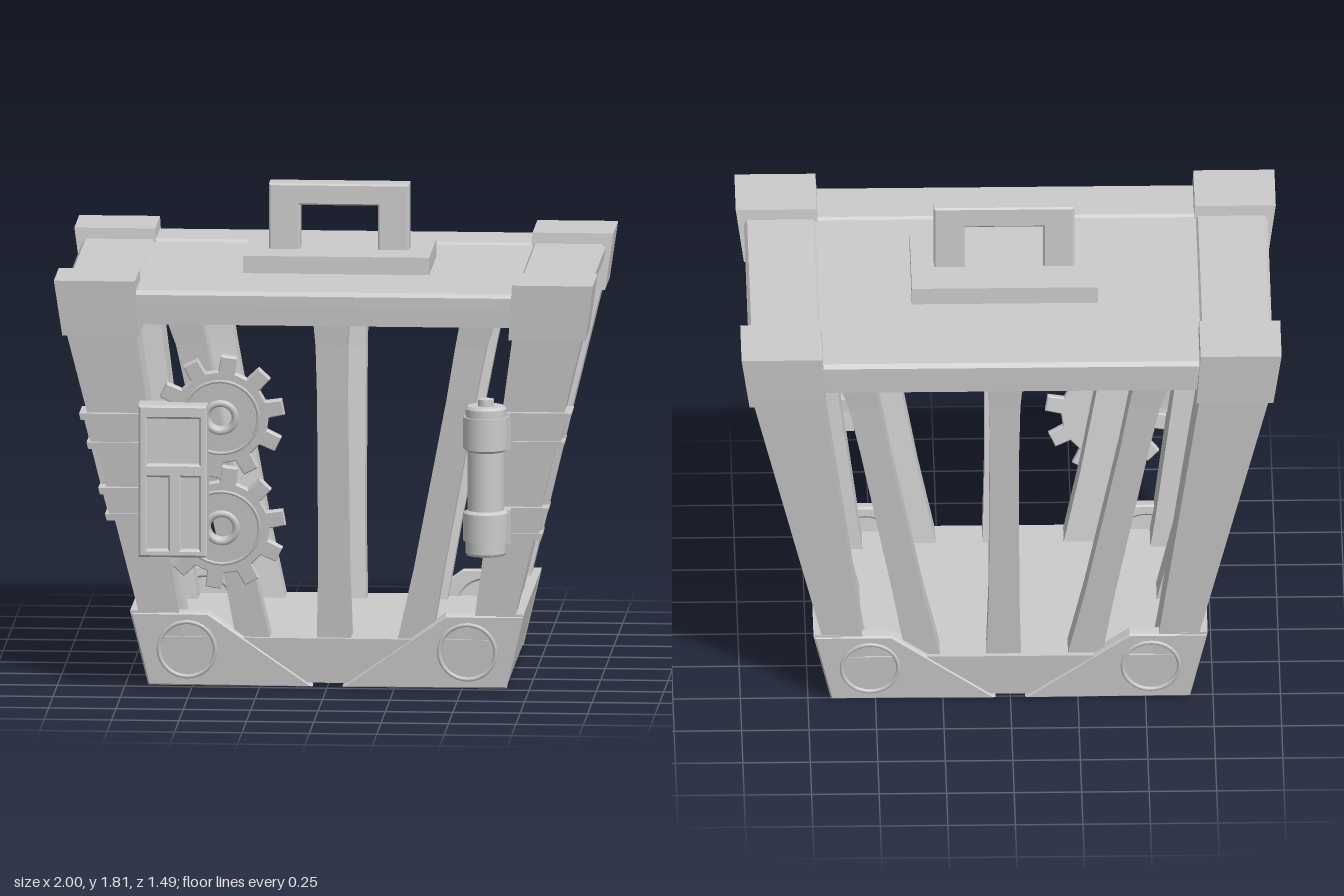
import * as THREE from 'three';

const mat = new THREE.MeshStandardMaterial({ color: 0xcccccc });

function add(parent, name, geometry, x = 0, y = 0, z = 0) {
  const mesh = new THREE.Mesh(geometry, mat);
  mesh.name = name;
  mesh.position.set(x, y, z);
  parent.add(mesh);
  return mesh;
}

// Box stretched through rectangular sections [y, xa, xb, za, zb], bottom to top
function loft(...sections) {
  const n = sections.length - 1;
  const g = new THREE.BoxGeometry(1, 1, 1, 1, n, 1);
  const p = g.attributes.position;
  for (let i = 0; i < p.count; i++) {
    const [y, xa, xb, za, zb] = sections[Math.round((p.getY(i) + 0.5) * n)];
    p.setXYZ(i,
      p.getX(i) < 0 ? Math.min(xa, xb) : Math.max(xa, xb), y,
      p.getZ(i) < 0 ? Math.min(za, zb) : Math.max(za, zb));
  }
  const flat = g.toNonIndexed();
  flat.computeVertexNormals();
  return flat;
}

const block = (x0, x1, y0, y1, z0, z1) => loft([y0, x0, x1, z0, z1], [y1, x0, x1, z0, z1]);

function polygon(points) {
  return new THREE.Shape(points.map(([x, y]) => new THREE.Vector2(x, y)));
}

function extrude(shape, depth, bevel = 0) {
  return new THREE.ExtrudeGeometry(shape, {
    depth, curveSegments: 28, bevelEnabled: bevel > 0, bevelSize: bevel,
    bevelOffset: -bevel, bevelThickness: bevel, bevelSegments: 1,
  });
}

function rectHole(x0, x1, y0, y1) {
  return polygon([[x0, y0], [x0, y1], [x1, y1], [x1, y0]]);
}

// Outer faces of the sloping corner posts at height y
const postX = y => 0.70 + 0.2406 * (y - 0.28);
const postZ = y => 0.497 + 0.1443 * (y - 0.28);
const backZ = y => 0.415 + 0.112 * (y - 0.57);

function cage() {
  const g = new THREE.Group();
  g.name = 'cage';
  g.position.z = -0.021;

  for (const sx of [1, -1]) for (const sz of [1, -1]) {
    add(g, 'cornerCap', loft(
      [1.34, sx * 0.685, sx * 0.97, sz * 0.43, sz * 0.70],
      [1.55, sx * 0.70, sx, sz * 0.447, sz * 0.725]));
    add(g, 'cornerPost', loft(
      [0.1, sx * 0.52, sx * 0.657, sz * 0.325, sz * 0.492],
      [0.28, sx * 0.55, sx * 0.70, sz * 0.34, sz * 0.518],
      [1.36, sx * 0.70, sx * 0.96, sz * 0.447, sz * 0.673]));
  }

  // Stepped rails round the lid
  for (const s of [1, -1]) {
    add(g, 'longRail', loft(
      [1.38, -0.75, 0.75, s * 0.45, s * 0.665], [1.455, -0.75, 0.75, s * 0.45, s * 0.672]));
    add(g, 'longRailRim', loft(
      [1.455, -0.75, 0.75, s * 0.45, s * 0.692], [1.495, -0.75, 0.75, s * 0.45, s * 0.695],
      [1.51, -0.75, 0.75, s * 0.462, s * 0.682]));
    add(g, 'sideRail', loft(
      [1.38, s * 0.70, s * 0.935, -0.5, 0.5], [1.455, s * 0.70, s * 0.945, -0.5, 0.5]));
    add(g, 'sideRailRim', loft(
      [1.455, s * 0.70, s * 0.965, -0.5, 0.5], [1.495, s * 0.70, s * 0.97, -0.5, 0.5],
      [1.51, s * 0.712, s * 0.958, -0.5, 0.5]));
  }
  add(g, 'lidPanel', block(-0.72, 0.72, 1.40, 1.5, -0.46, 0.46));

  // Three bars on the long faces, one on each side, slightly waisted
  for (const s of [1, -1]) {
    for (const k of [-1, 0, 1]) {
      const bar = [[0.1, 0.285, 0.066, 0.475], [0.45, 0.355, 0.056, 0.525],
        [1.1, 0.48, 0.054, 0.62], [1.3, 0.518, 0.058, 0.645], [1.4, 0.545, 0.066, 0.66]];
      add(g, 'longFaceBar', loft(...bar.map(([y, c, h, z]) =>
        [y, 0.024 + k * c - h, 0.024 + k * c + h, s * (z - 0.11), s * z])));
    }
    const bar = [[0.1, 0.65, 0.066], [0.45, 0.735, 0.06], [1.1, 0.87, 0.06], [1.4, 0.93, 0.072]];
    add(g, 'sideBar', loft(...bar.map(([y, x, h]) =>
      [y, s * (x - 0.12), s * x, -0.012 - h, -0.012 + h])));
  }

  // Base tray with raised side walls
  add(g, 'baseFloor', loft([0.01, -0.66, 0.66, -0.485, 0.485], [0.18, -0.69, 0.69, -0.508, 0.508]));
  for (const s of [1, -1])
    add(g, 'baseSideWall', loft(
      [0.005, s * 0.55, s * 0.665, -0.485, 0.485], [0.28, s * 0.63, s * 0.73, -0.52, 0.52]));

  // Angled corner plates with round recesses, front and back
  for (const turn of [0, Math.PI]) {
    const face = new THREE.Group();
    face.name = 'baseFace';
    face.rotation.y = turn;
    g.add(face);
    for (const s of [1, -1]) {
      const plate = new THREE.Group();
      plate.name = 'basePlate';
      plate.position.z = 0.445;
      plate.rotation.x = 0.11;
      face.add(plate);
      const shape = polygon([[0.665, 0], [0.73, 0.28], [0.44, 0.28], [0.055, 0]].map(([x, y]) => [s * x, y]));
      const hole = new THREE.Path();
      hole.absarc(s * 0.52, 0.14, 0.1, 0, Math.PI * 2);
      shape.holes.push(hole);
      add(plate, 'cornerPlate', extrude(shape, 0.04, 0.007));
      const disc = add(plate, 'roundInset', new THREE.CylinderGeometry(0.105, 0.105, 0.03, 32), s * 0.52, 0.14, 0.018);
      disc.rotation.x = Math.PI / 2;
      add(plate, 'insetRim', new THREE.TorusGeometry(0.105, 0.008, 8, 32), s * 0.52, 0.14, 0.046);
    }
  }
  return g;
}

function handle() {
  const g = new THREE.Group();
  g.name = 'handle';
  add(g, 'handlePlate', block(-0.33, 0.36, 1.48, 1.565, -0.225, 0.2));
  const arch = polygon([[-0.245, 1.55], [-0.13, 1.55], [-0.13, 1.73], [0.16, 1.73],
    [0.16, 1.55], [0.275, 1.55], [0.275, 1.81], [-0.245, 1.81]]);
  add(g, 'handleGrip', extrude(arch, 0.084, 0.006), 0, 0, -0.052);
  return g;
}

function gear(y, z) {
  const g = new THREE.Group();
  g.name = 'gear';
  g.position.set(-0.385, y, z);
  g.rotation.x = 0.14;
  const pts = [];
  for (let i = 0; i < 10; i++) {
    const a = (82 + i * 36) * Math.PI / 180;
    for (const [da, r] of [[-0.18, 0.178], [-0.125, 0.238], [0.125, 0.238], [0.18, 0.178]])
      pts.push([r * Math.cos(a + da), r * Math.sin(a + da)]);
  }
  const shape = polygon(pts);
  const hole = new THREE.Path();
  hole.absarc(0, 0, 0.042, 0, Math.PI * 2);
  shape.holes.push(hole);
  add(g, 'gearWheel', extrude(shape, 0.024, 0.004), 0, 0, -0.012);
  add(g, 'gearRing', new THREE.TorusGeometry(0.14, 0.007, 6, 32), 0, 0, 0.015);
  add(g, 'gearHub', new THREE.TorusGeometry(0.055, 0.014, 8, 24), 0, 0, 0.014);
  return g;
}

// Two ribbed straps round a post, joined by an upright strip behind
function bracket(s, bands) {
  const g = new THREE.Group();
  g.name = 'bracket';
  const wrap = (name, y0, y1, out) => {
    add(g, name, loft(...[y0, y1].map(y =>
      [y, s * 0.56, s * (postX(y) + out), postZ(y) - 0.03, postZ(y) + out])));
    add(g, name, loft(...[y0, y1].map(y =>
      [y, s * (postX(y) - 0.03), s * (postX(y) + out), backZ(y), postZ(y) + out])));
  };
  for (const [y0, y1] of bands) {
    wrap('strap', y0, y1, 0.014);
    wrap('strapRib', y0, y0 + 0.025, 0.028);
    wrap('strapRib', y1 - 0.025, y1, 0.028);
    add(g, 'strapMount', block(s * 0.53, s * 0.69, y0, y1, 0.52, 0.645));
  }
  add(g, 'bracketSpine', loft(...[bands[0][0], bands[1][1]].map(y =>
    [y, s * (postX(y) - 0.03), s * (postX(y) + 0.025), backZ(y), backZ(y) + 0.07])));
  return g;
}

function latchBox() {
  const g = new THREE.Group();
  g.name = 'latchBox';
  const face = polygon([[-0.685, 0.52], [-0.43, 0.52], [-0.43, 1.09], [-0.685, 1.09]]);
  face.holes.push(rectHole(-0.65, -0.46, 0.87, 1.04),
    rectHole(-0.65, -0.575, 0.55, 0.82), rectHole(-0.525, -0.46, 0.55, 0.82));
  add(g, 'latchFrame', extrude(face, 0.02, 0.008), 0, 0, 0.707);
  add(g, 'latchBody', block(-0.685, -0.43, 0.52, 1.09, 0.625, 0.71));
  return g;
}

// Upright canister with collars and a top knob
function canister() {
  const profile = [[0, 0.53], [0.07, 0.53], [0.076, 0.54], [0.076, 0.585], [0.084, 0.585],
    [0.084, 0.69], [0.068, 0.70], [0.068, 0.92], [0.084, 0.93], [0.084, 1.05],
    [0.076, 1.05], [0.076, 1.08], [0.068, 1.09], [0.03, 1.09], [0.03, 1.115], [0, 1.12]];
  // Doubled points keep the steps crisp
  const pts = profile.flatMap(([r, y]) => [new THREE.Vector2(r, y), new THREE.Vector2(r, y)]).slice(1, -1);
  const g = new THREE.Group();
  g.name = 'canister';
  for (let i = 0; i < pts.length - 1; i += 2)
    add(g, 'canisterBody', new THREE.LatheGeometry([pts[i], pts[i + 1]], 28), 0.60, 0, 0.655);
  return g;
}

export function createModel() {
  const model = new THREE.Group();
  model.name = 'cageLantern';
  model.add(cage(), handle(), gear(1.035, 0.628), gear(0.61, 0.566),
    bracket(-1, [[0.63, 0.755], [0.905, 1.04]]),
    bracket(1, [[0.57, 0.695], [0.925, 1.06]]),
    latchBox(), canister());
  return model;
}
